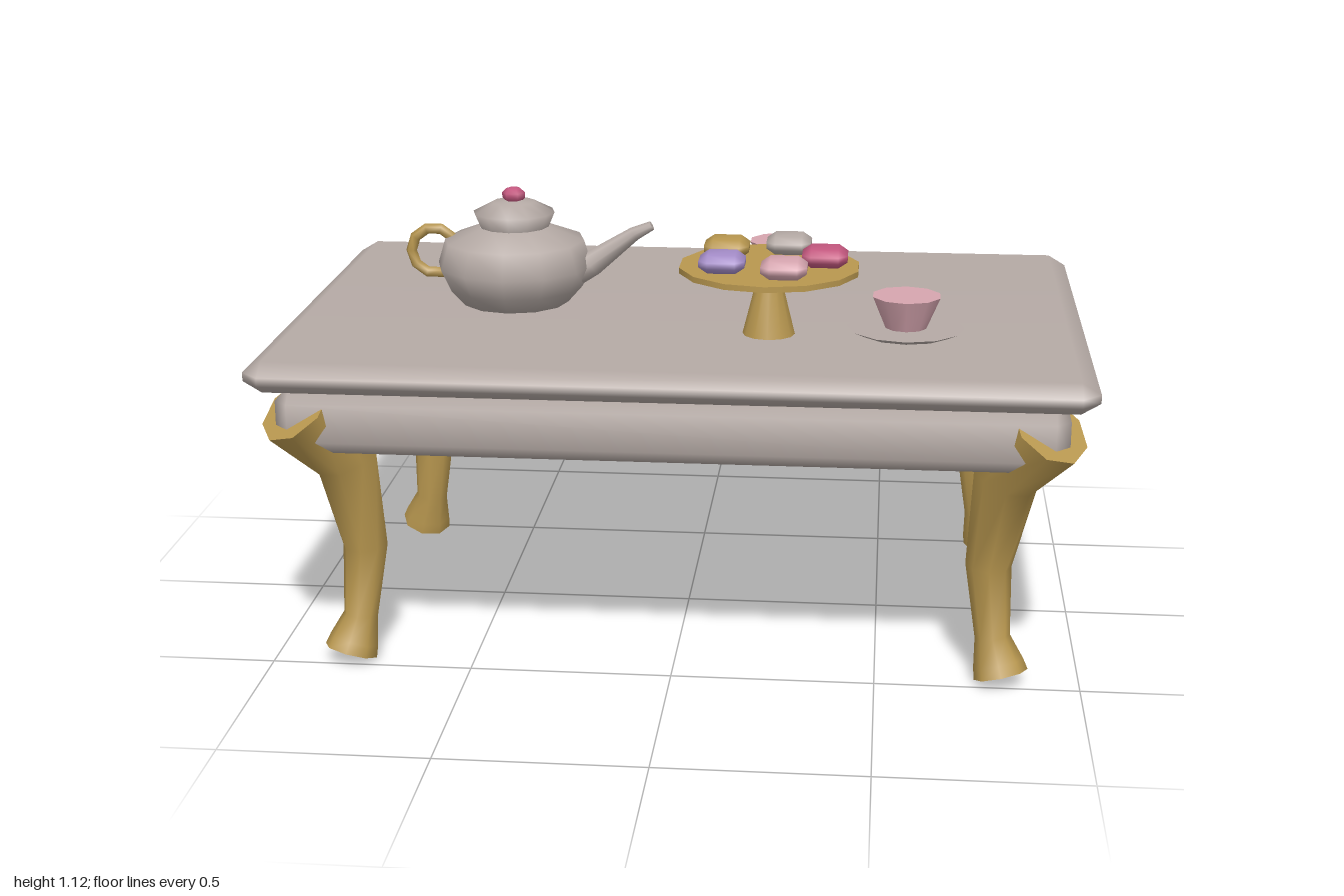
import * as THREE from 'three';
import { mergeVertices, toCreasedNormals } from 'three/addons/utils/BufferGeometryUtils.js';
import { ConvexGeometry } from 'three/addons/geometries/ConvexGeometry.js';

const mat = (name, color) => new THREE.MeshStandardMaterial({ name, color });

// Box with one chamfer on every edge (bx in plan, by in height) and soft normals
function chamferBox(w, h, d, bx, by) {
  const X = w / 2, Y = h / 2, Z = d / 2, pts = [];
  for (const i of [-1, 1]) for (const j of [-1, 1]) for (const k of [-1, 1]) {
    pts.push(new THREE.Vector3(i * X, j * (Y - by), k * (Z - bx)));
    pts.push(new THREE.Vector3(i * (X - bx), j * Y, k * (Z - bx)));
    pts.push(new THREE.Vector3(i * (X - bx), j * (Y - by), k * Z));
  }
  const g = new ConvexGeometry(pts);
  g.deleteAttribute('normal');
  const merged = mergeVertices(g);
  merged.computeVertexNormals();
  return merged;
}

// Round sweep along [x, y, radius] points in the xy plane, closed at both ends
function sweep(path, sides) {
  const pos = [], idx = [], last = path.length - 1;
  path.forEach(([x, y, r], i) => {
    const a = path[Math.max(i - 1, 0)], b = path[Math.min(i + 1, last)];
    const t = new THREE.Vector2(b[0] - a[0], b[1] - a[1]).normalize();
    for (let j = 0; j < sides; j++) {
      const q = (j / sides) * Math.PI * 2, c = r * Math.cos(q);
      pos.push(x + t.y * c, y - t.x * c, r * Math.sin(q));
    }
  });
  for (let i = 0; i < last; i++) for (let j = 0; j < sides; j++) {
    const k = (j + 1) % sides, a = i * sides + j, b = i * sides + k;
    idx.push(a, a + sides, b, b, a + sides, b + sides);
  }
  for (let j = 1; j < sides - 1; j++) {
    idx.push(0, j, j + 1);
    idx.push(last * sides, last * sides + j + 1, last * sides + j);
  }
  const g = new THREE.BufferGeometry();
  g.setAttribute('position', new THREE.Float32BufferAttribute(pos, 3));
  g.setIndex(idx);
  return toCreasedNormals(g, 1.0);
}

const lathe = (pts, sides) =>
  new THREE.LatheGeometry(pts.map(([r, y]) => new THREE.Vector2(r, y)), sides);

export function createModel() {
  const model = new THREE.Group();
  model.name = 'teaTable';
  const stone = mat('warmGrey', 0xb5aaa5);
  const gold = mat('gold', 0xb8974f);
  const pink = mat('palePink', 0xd6a5af);
  const rose = mat('rose', 0xc4587f);
  const lilac = mat('lilac', 0xa48cc8);

  const add = (parent, name, geo, material, x = 0, y = 0, z = 0) => {
    const m = new THREE.Mesh(geo, material);
    m.name = name;
    m.position.set(x, y, z);
    parent.add(m);
    return m;
  };
  const group = (name, x, y, z) => {
    const g = new THREE.Group();
    g.name = name;
    g.position.set(x, y, z);
    model.add(g);
    return g;
  };

  // Table top and apron
  add(model, 'tableTop', chamferBox(2, 0.075, 1.33, 0.045, 0.027), stone, 0, 0.775, 0);
  add(model, 'apron', chamferBox(1.88, 0.162, 1.21, 0.035, 0.035), stone, 0, 0.656, 0);

  // Curved legs, bowed outward along the diagonals
  const legGeo = sweep([
    [0.055, 0.018, 0.067], [0.045, 0.045, 0.062], [0.022, 0.11, 0.043],
    [0, 0.29, 0.056], [0.045, 0.53, 0.08], [0.175, 0.68, 0.1],
  ], 8);
  for (const sx of [-1, 1]) for (const sz of [-1, 1]) {
    const leg = add(model, 'leg', legGeo, gold, sx * 0.77, 0, sz * 0.43);
    leg.rotation.y = Math.atan2(-sz, sx);
  }

  // Teapot
  const pot = group('teapot', -0.45, 0.81, 0);
  add(pot, 'potBody', lathe([
    [0, 0], [0.135, 0], [0.175, 0.045], [0.2, 0.1], [0.18, 0.165], [0.09, 0.2],
  ], 12), stone);
  add(pot, 'potLid', lathe([
    [0.085, 0.19], [0.105, 0.237], [0.055, 0.263], [0, 0.27],
  ], 12), stone);
  add(pot, 'lidKnob', new THREE.SphereGeometry(0.031, 6, 5), rose, 0, 0.28, 0)
    .scale.y = 0.7;
  add(pot, 'spout', sweep([
    [0.14, 0.08, 0.045], [0.2, 0.105, 0.033], [0.31, 0.185, 0.018], [0.355, 0.207, 0.012],
  ], 8), stone);
  add(pot, 'potHandle', new THREE.TorusGeometry(0.06, 0.014, 6, 10), gold, -0.21, 0.13, 0);

  // Cake stand with five sweets
  const stand = group('cakeStand', 0.22, 0.81, 0.26);
  add(stand, 'standFoot', new THREE.CylinderGeometry(0.025, 0.065, 0.16, 12), gold, 0, 0.08, 0);
  add(stand, 'standPlate', new THREE.CylinderGeometry(0.222, 0.222, 0.014, 14), gold, 0, 0.168, 0);
  const sweetGeo = chamferBox(0.11, 0.045, 0.11, 0.022, 0.015);
  [rose, pink, lilac, gold, stone].forEach((m, i) => {
    const a = (i * Math.PI * 2) / 5;
    add(stand, 'sweet', sweetGeo, m, 0.135 * Math.cos(a), 0.2, 0.135 * Math.sin(a));
  });

  // Cups on saucers
  for (const [x, z] of [[0.555, 0.22], [0.22, -0.34]]) {
    const cup = group('cupAndSaucer', x, 0.81, z);
    add(cup, 'saucer', new THREE.CylinderGeometry(0.144, 0.11, 0.016, 12), stone, 0, 0.008, 0);
    add(cup, 'cup', new THREE.CylinderGeometry(0.086, 0.052, 0.08, 10), pink, 0, 0.056, 0);
  }
  return model;
}
